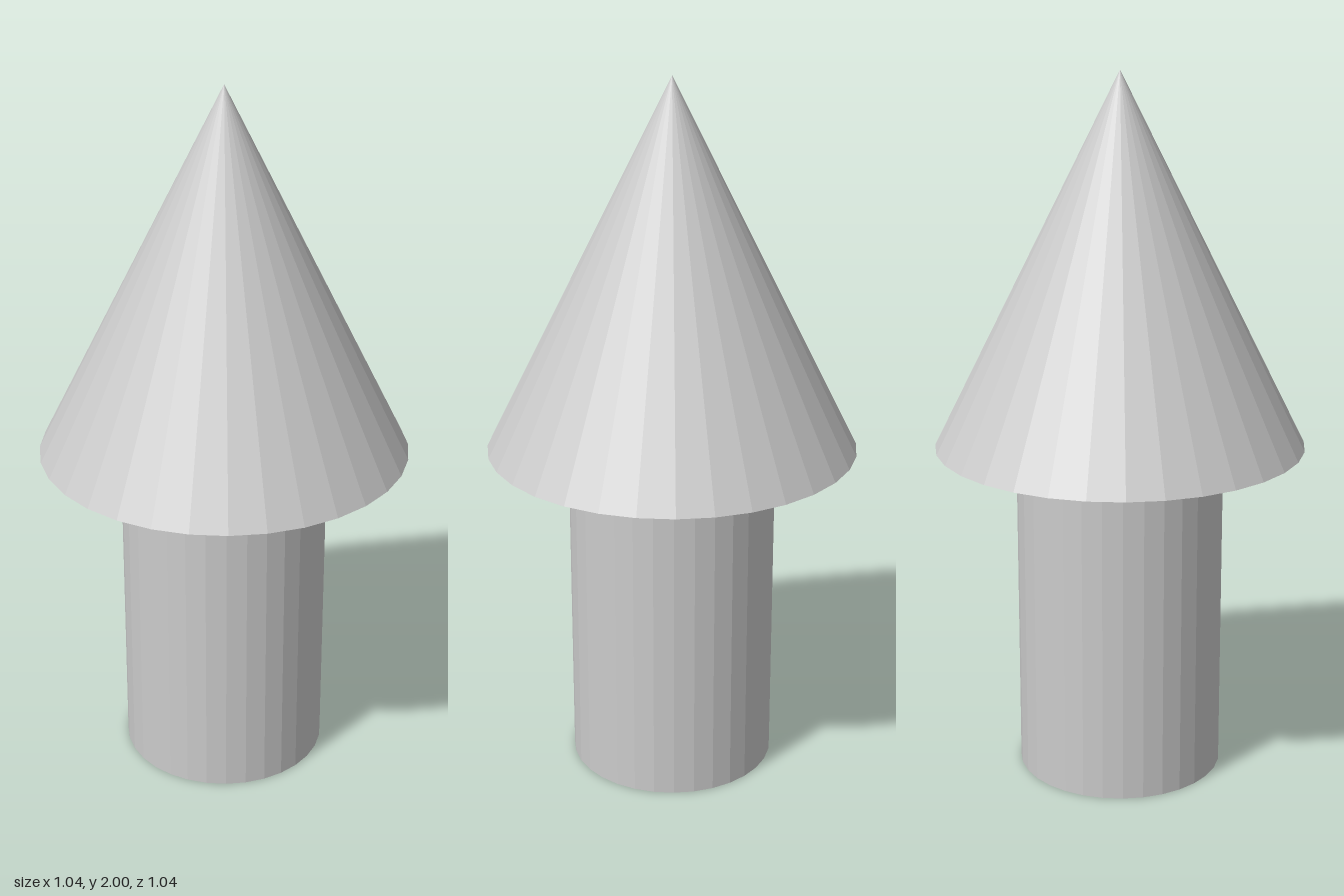
import * as THREE from 'three';

const SIDES = 32;
const SHAFT_HEIGHT = 0.96;
const TOTAL_HEIGHT = 2;

export function createModel() {
  const group = new THREE.Group();
  group.name = 'upArrow';
  const material = new THREE.MeshStandardMaterial({ color: 0xcccccc, flatShading: true });

  const add = (name, geometry, y) => {
    const mesh = new THREE.Mesh(geometry, material);
    mesh.name = name;
    mesh.position.y = y;
    group.add(mesh);
  };

  // Straight round shaft standing on the ground
  add('shaft', new THREE.CylinderGeometry(0.293, 0.293, SHAFT_HEIGHT, SIDES), SHAFT_HEIGHT / 2);

  // Pointed head resting on the shaft
  const headHeight = TOTAL_HEIGHT - SHAFT_HEIGHT;
  add('head', new THREE.ConeGeometry(0.521, headHeight, SIDES), SHAFT_HEIGHT + headHeight / 2);

  return group;
}
